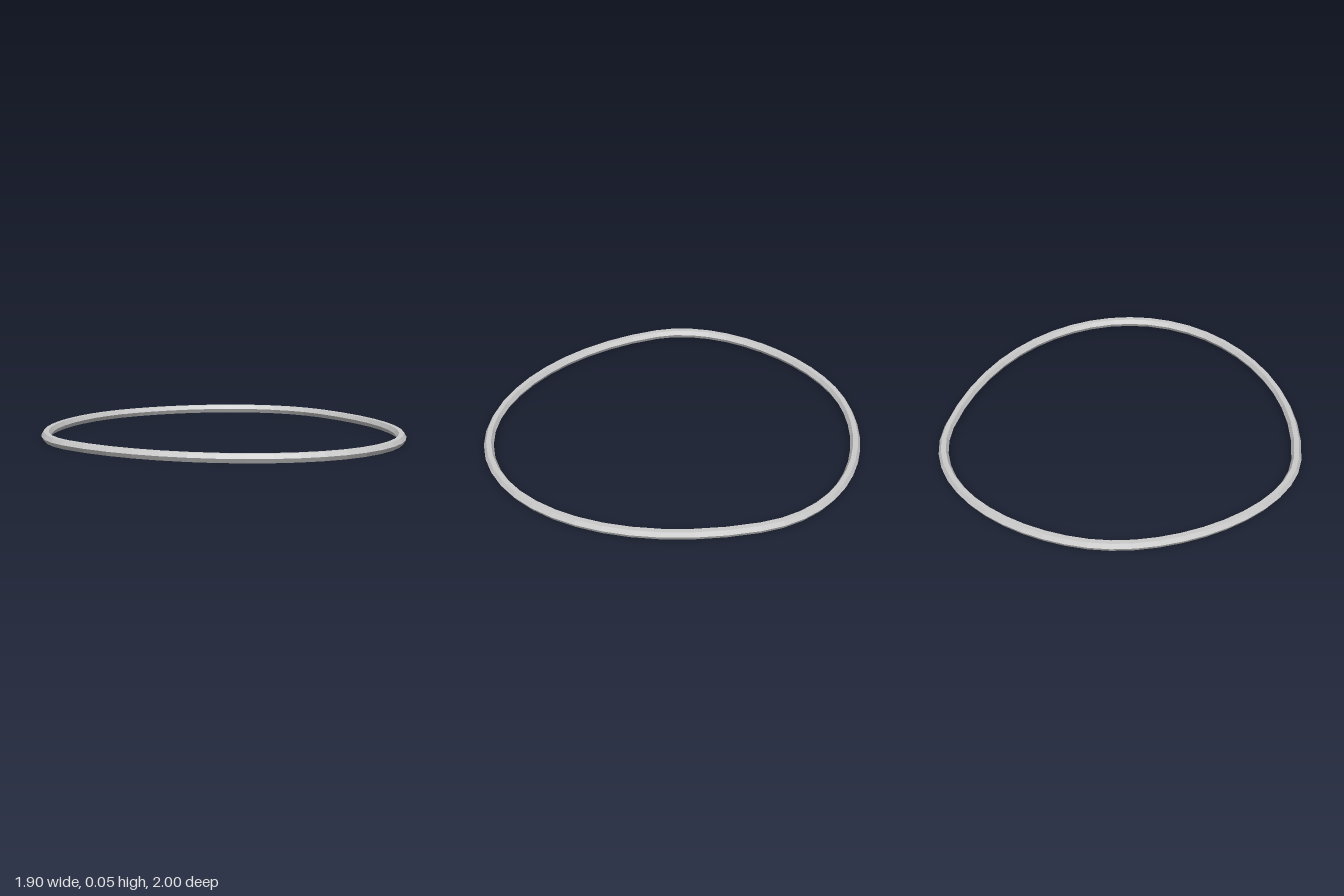
import * as THREE from 'three';

const RADIUS = 0.026; // hexagonal section, flat on top and bottom
const SIDES = 6;
const STEPS = 12; // divisions per curve segment

// Outline in plan (x, z): back -> left -> front -> right -> back
const v = (x, z) => new THREE.Vector2(x, z);
const back = v(0.02, -0.974), left = v(0.922, -0.2);
const front = v(0.02, 0.974), right = v(-0.922, -0.17);
const outline = [
  new THREE.CubicBezierCurve(back, v(0.46, -0.974), v(0.935, -0.68), left),
  new THREE.CubicBezierCurve(left, v(0.9, 0.5), v(0.5, 0.974), front),
  new THREE.CubicBezierCurve(front, v(-0.46, 0.974), v(-0.91, 0.46), right),
  new THREE.CubicBezierCurve(right, v(-0.93, -0.58), v(-0.41, -0.974), back),
];

// Sweeps the hexagon around the closed outline
function sweepLoop() {
  const positions = [], index = [];
  const rings = outline.length * STEPS;
  const midY = RADIUS * Math.sin(Math.PI / 3);
  for (let i = 0; i < rings; i++) {
    const curve = outline[Math.floor(i / STEPS)];
    const t = (i % STEPS) / STEPS;
    const p = curve.getPoint(t), d = curve.getTangent(t);
    const next = ((i + 1) % rings) * SIDES;
    for (let j = 0; j < SIDES; j++) {
      const a = (j / SIDES) * Math.PI * 2;
      const out = RADIUS * Math.cos(a);
      positions.push(p.x + d.y * out, midY + RADIUS * Math.sin(a), p.y - d.x * out);
      const k = (j + 1) % SIDES, here = i * SIDES;
      index.push(here + j, here + k, next + j, here + k, next + k, next + j);
    }
  }
  const geometry = new THREE.BufferGeometry();
  geometry.setAttribute('position', new THREE.Float32BufferAttribute(positions, 3));
  geometry.setIndex(index);
  geometry.computeVertexNormals();
  return geometry;
}

export function createModel() {
  const group = new THREE.Group();
  group.name = 'roundedLoop';
  const material = new THREE.MeshStandardMaterial({ color: 0xcccccc, flatShading: true });
  const ring = new THREE.Mesh(sweepLoop(), material);
  ring.name = 'ring';
  group.add(ring);
  return group;
}
